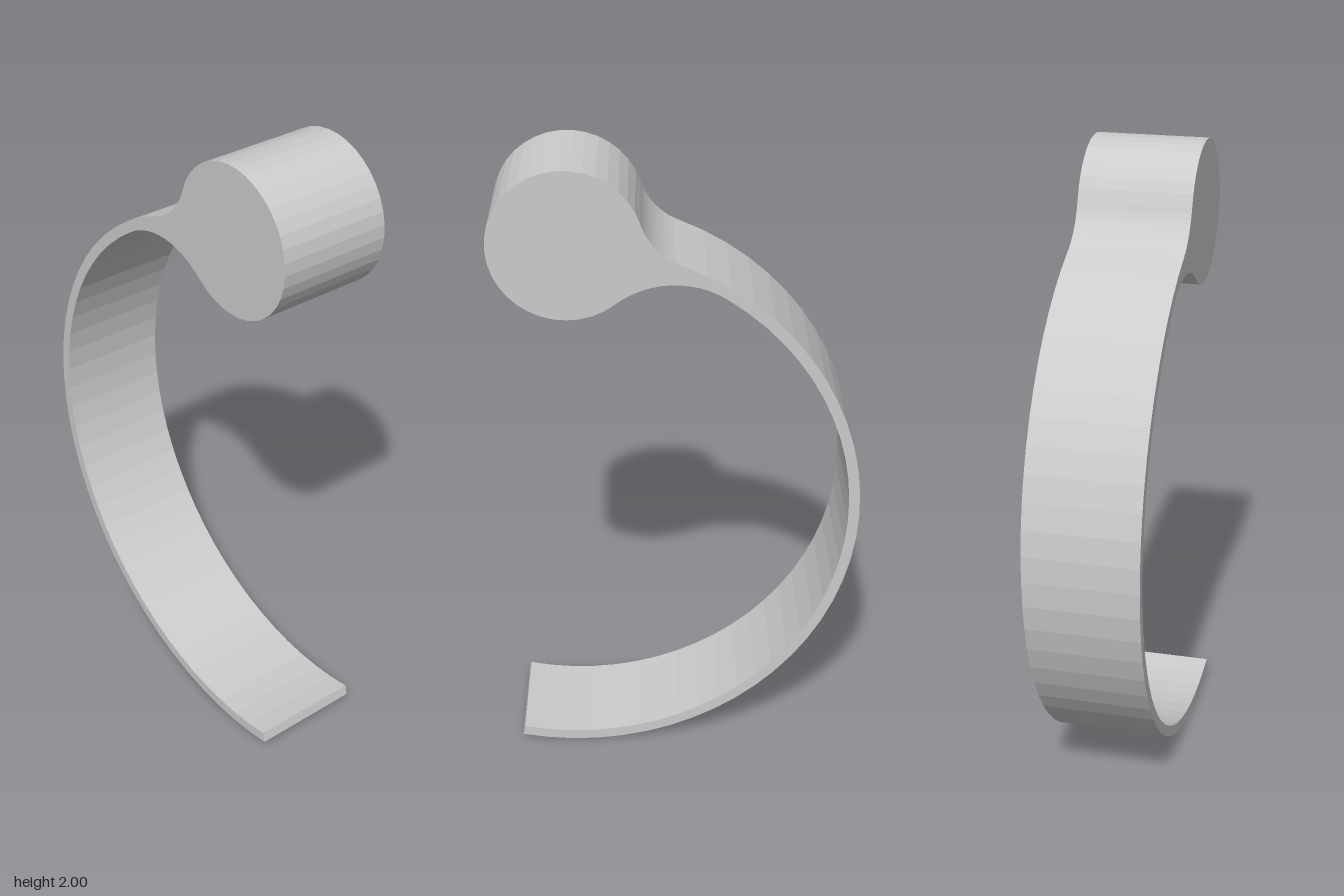
import * as THREE from 'three';

const HOOP = { x: 0.33, y: 0.89 }, R_OUT = 0.89, R_IN = 0.856;
const KNOB = { x: 0.33, y: 1.773 }, R_KNOB = 0.228;
const DEPTH = 0.357, TAU = Math.PI * 2;

const angle = (from, to) => Math.atan2(to.y - from.y, to.x - from.x);

// Points along an arc, both ends included
function arc(c, r, a0, a1, n) {
  return Array.from({ length: n + 1 }, (_, i) => {
    const a = a0 + ((a1 - a0) * i) / n;
    return new THREE.Vector2(c.x + r * Math.cos(a), c.y + r * Math.sin(a));
  });
}

// Centre of a fillet at given distances from the hoop and knob centres, on the left
function filletCentre(dHoop, dKnob) {
  const d = KNOB.y - HOOP.y;
  const h = (dHoop ** 2 - dKnob ** 2 + d ** 2) / (2 * d);
  return { x: HOOP.x - Math.sqrt(dHoop ** 2 - h ** 2), y: HOOP.y + h };
}

// The shorter way round from a0 to a1
function shortEnd(a0, a1) {
  let s = a1 - a0;
  while (s > Math.PI) s -= TAU;
  while (s < -Math.PI) s += TAU;
  return a0 + s;
}

export function createModel() {
  const group = new THREE.Group();
  group.name = 'hook';

  const rTop = 0.2, rLow = 0.28;
  const top = filletCentre(R_OUT + rTop, R_KNOB + rTop);
  const low = filletCentre(R_IN - rLow, R_KNOB + rLow);
  const tip = THREE.MathUtils.degToRad(-77.3);

  const topStart = angle(top, HOOP), lowStart = angle(low, KNOB);
  const pieces = [
    // outer face of the band, from the tip round to the neck
    arc(HOOP, R_OUT, tip, angle(HOOP, top) - TAU, 32),
    // upper neck fillet
    arc(top, rTop, topStart, shortEnd(topStart, angle(top, KNOB)), 10),
    // knob
    arc(KNOB, R_KNOB, angle(KNOB, top), angle(KNOB, low), 30),
    // lower neck fillet
    arc(low, rLow, lowStart, shortEnd(lowStart, angle(HOOP, low)), 12),
    // inner face of the band, back to the tip
    arc(HOOP, R_IN, angle(HOOP, low) - TAU, tip, 32),
  ];
  // Neighbouring arcs share their tangent point
  const points = pieces.flatMap((p, i) => (i === 0 ? p : i === 4 ? p.slice(1) : p.slice(1)));

  const geometry = new THREE.ExtrudeGeometry(new THREE.Shape(points), { depth: DEPTH, bevelEnabled: false });
  geometry.translate(0, 0, -DEPTH / 2);

  const mesh = new THREE.Mesh(geometry, new THREE.MeshStandardMaterial({ color: 0xcccccc, flatShading: true }));
  mesh.name = 'curvedBandWithKnob';
  group.add(mesh);
  return group;
}
